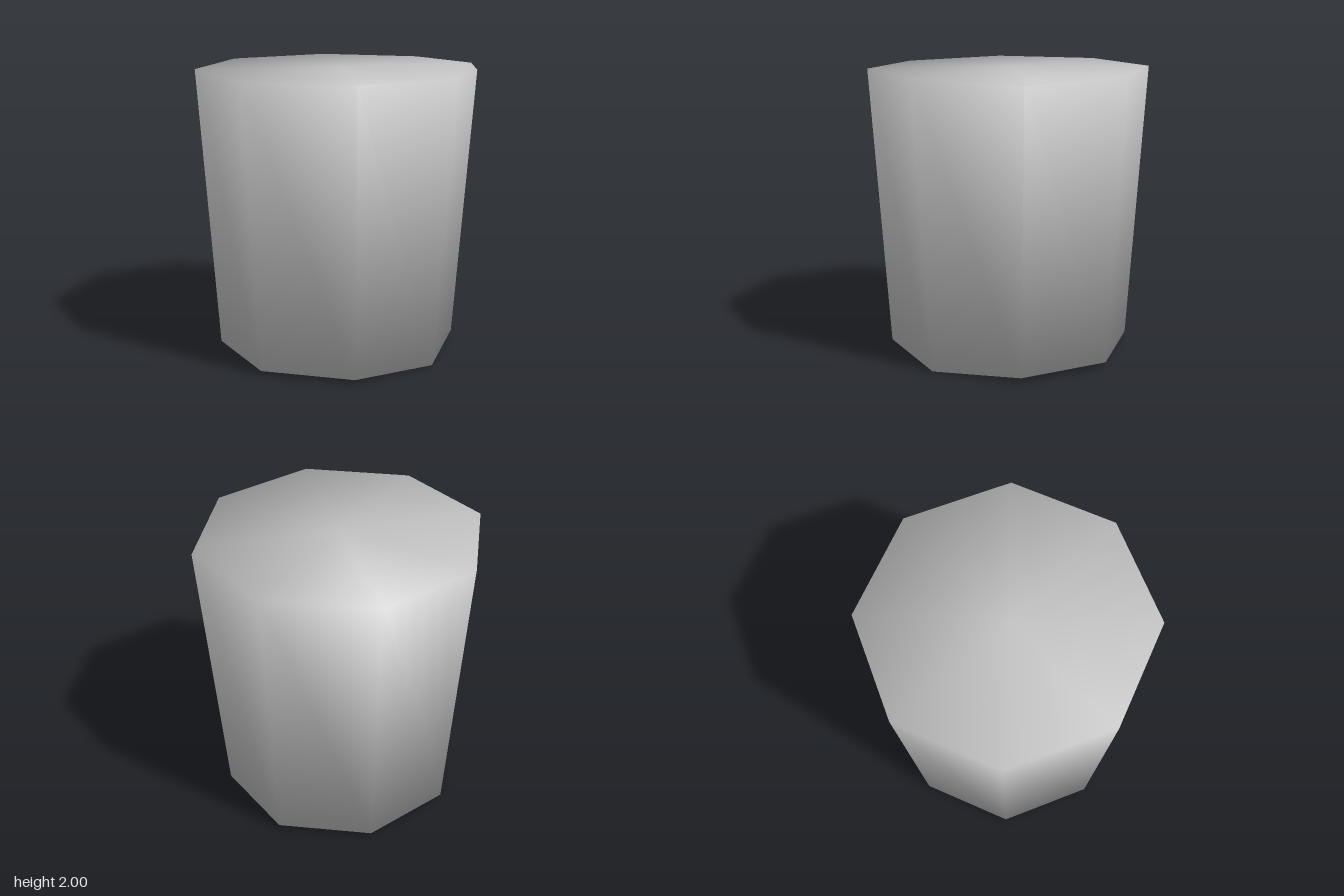
import * as THREE from 'three';

const grey = new THREE.MeshStandardMaterial({ color: 0xc0c0c0 });
grey.name = 'grey';

// Eight-sided tapered block with soft shading across all its corners
export function createModel() {
  const group = new THREE.Group();
  group.name = 'taperedBlock';

  // Slightly uneven rings, going from front (+z) round through left (+x)
  const top = [
    [-0.01, 1.975, 0.97], [0.68, 1.975, 0.68], [0.975, 1.95, 0], [0.68, 1.98, -0.69],
    [0, 1.98, -0.975], [-0.69, 1.98, -0.7], [-0.98, 1.98, -0.015], [-0.7, 1.97, 0.68],
  ];
  const bottom = [
    [0, 0.035, 0.845], [0.57, 0.0, 0.57], [0.835, 0.035, 0], [0.6, 0.035, -0.6],
    [0, 0.04, -0.85], [-0.6, 0.035, -0.6], [-0.85, 0.03, 0], [-0.6, 0.03, 0.6],
  ];
  const n = top.length;
  const points = [...top, ...bottom, [0, 1.985, 0], [0, 0.03, 0], [0.93, 2, 0]];
  const topMid = 2 * n, bottomMid = topMid + 1, chip = topMid + 2;

  // Sides and end caps; the left top corner is chipped
  const index = [];
  for (let i = 0; i < n; i++) {
    const j = (i + 1) % n;
    index.push(i, n + i, n + j, i, n + j, j);
    index.push(topMid, i === 2 ? chip : i, j === 2 ? chip : j);
    index.push(bottomMid, n + j, n + i);
  }
  index.push(1, 2, chip, 2, 3, chip);

  // Normals spread outwards from the middle, so the block shades like a pebble
  const normals = points.flatMap(([x, y, z]) =>
    new THREE.Vector3(x, y - 1, z).normalize().toArray());

  const geometry = new THREE.BufferGeometry();
  geometry.setAttribute('position', new THREE.Float32BufferAttribute(points.flat(), 3));
  geometry.setAttribute('normal', new THREE.Float32BufferAttribute(normals, 3));
  geometry.setIndex(index);

  const body = new THREE.Mesh(geometry, grey);
  body.name = 'body';
  group.add(body);
  return group;
}
